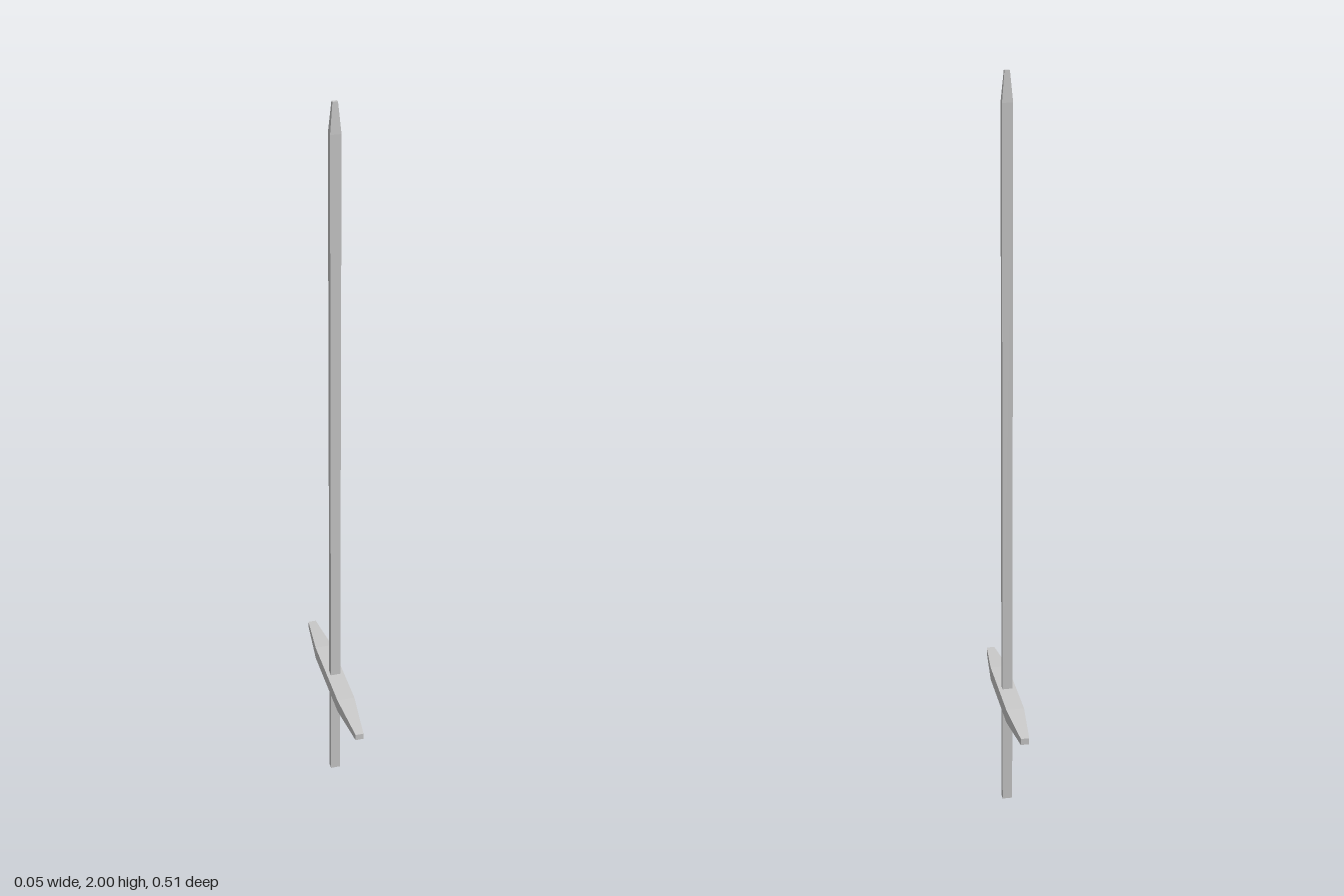
import * as THREE from 'three';

// Lofts rectangles [height, halfX, halfZ] along y, closed at both ends
function loftRectangles(sections) {
  const geometry = new THREE.BoxGeometry(2, 1, 2, 1, sections.length - 1, 1);
  const pos = geometry.attributes.position;
  for (let i = 0; i < pos.count; i++) {
    const k = Math.round((pos.getY(i) + 0.5) * (sections.length - 1));
    const [y, hx, hz] = sections[k];
    pos.setXYZ(i, pos.getX(i) * hx, y, pos.getZ(i) * hz);
  }
  geometry.computeVertexNormals();
  return geometry;
}

export function createModel() {
  const model = new THREE.Group();
  model.name = 'sword';
  const material = new THREE.MeshStandardMaterial({ color: 0xcccccc, flatShading: true });
  const guardY = 0.33;

  function addPart(name, sections) {
    const mesh = new THREE.Mesh(loftRectangles(sections), material);
    mesh.name = name;
    model.add(mesh);
    return mesh;
  }

  // Grip below the guard
  addPart('grip', [[0, 0.0135, 0.0095], [guardY, 0.0135, 0.0095]]);

  // Long blade with a short tapered, blunt tip
  addPart('blade', [
    [guardY, 0.0135, 0.0095],
    [1.925, 0.0135, 0.0095],
    [2, 0.0065, 0.0045],
  ]);

  // Crossguard along z, tapering toward both ends
  const guard = addPart('crossguard', [
    [-0.255, 0.011, 0.009],
    [-0.12, 0.024, 0.019],
    [0.118, 0.024, 0.019],
    [0.255, 0.011, 0.009],
  ]);
  guard.rotation.x = Math.PI / 2;
  guard.position.y = guardY;

  return model;
}
